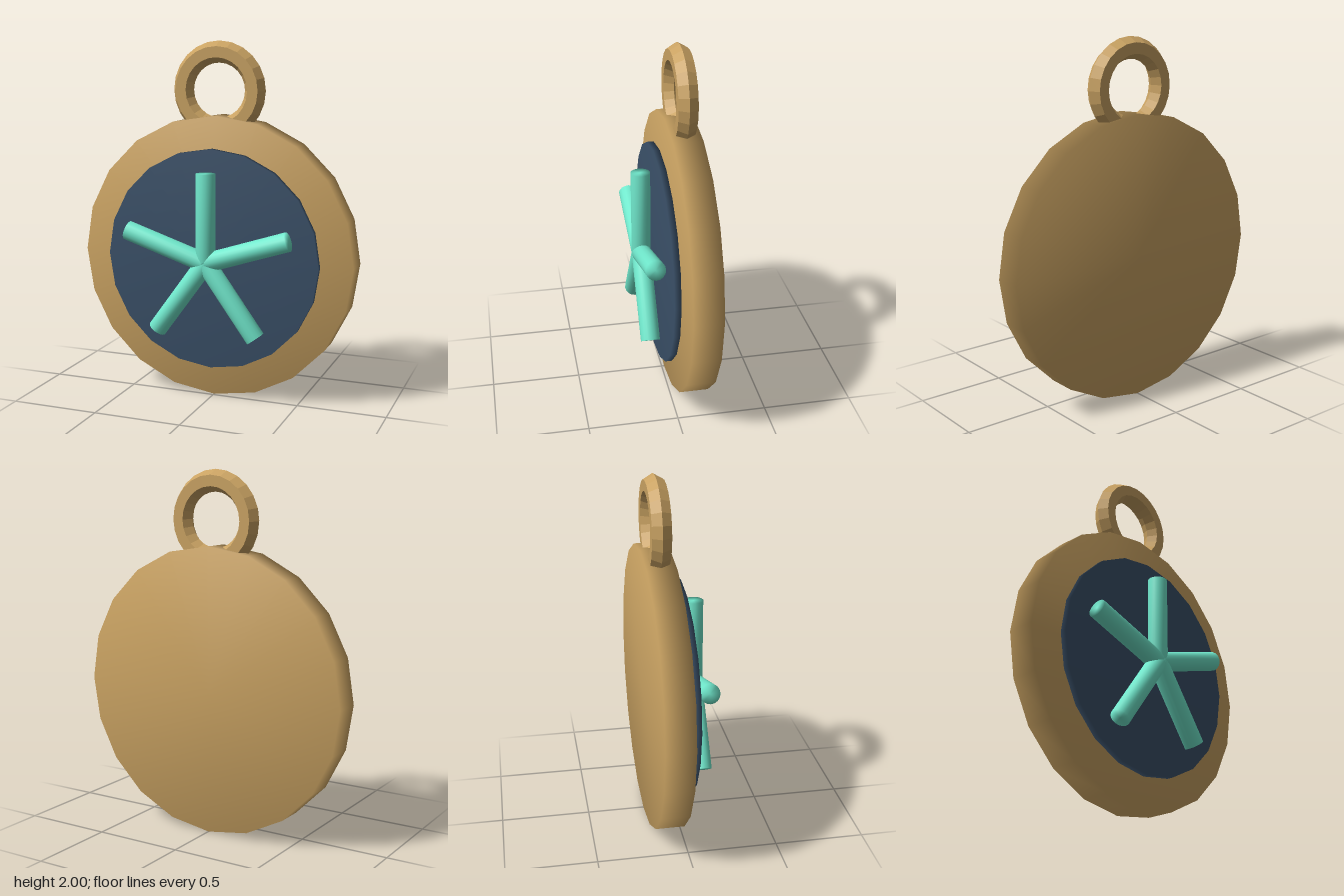
import * as THREE from 'three';
import { mergeVertices } from 'three/addons/utils/BufferGeometryUtils.js';

const gold = new THREE.MeshStandardMaterial({ color: 0xc9a262 });
const goldFlat = new THREE.MeshStandardMaterial({ color: 0xc9a262, flatShading: true });
const navy = new THREE.MeshStandardMaterial({ color: 0x3a5068 });
const mint = new THREE.MeshStandardMaterial({ color: 0x70e8cc });

const CENTRE_Y = 0.797;

// Cylinder whose caps share smooth normals with its wall
function softCylinder(radius, length, sides) {
  const g = new THREE.CylinderGeometry(radius, radius, length, sides);
  g.deleteAttribute('normal');
  g.deleteAttribute('uv');
  const merged = mergeVertices(g);
  merged.computeVertexNormals();
  return merged;
}

function addMesh(parent, name, geometry, material, x, y, z) {
  const mesh = new THREE.Mesh(geometry, material);
  mesh.name = name;
  mesh.position.set(x, y, z);
  parent.add(mesh);
  return mesh;
}

export function createModel() {
  const model = new THREE.Group();
  model.name = 'pendant';

  // Twenty-sided body and the thin plate floating in front of it
  const body = softCylinder(0.797, 0.16, 20).rotateX(Math.PI / 2);
  addMesh(model, 'body', body, gold, 0, CENTRE_Y, -0.095);
  const plate = softCylinder(0.62, 0.036, 20).rotateX(Math.PI / 2);
  addMesh(model, 'facePlate', plate, navy, 0, CENTRE_Y, 0.028);

  // Hanging ring with a hexagonal section, sunk into the top of the body
  addMesh(model, 'hangingRing', new THREE.TorusGeometry(0.21, 0.06, 6, 24), goldFlat, 0, 1.73, -0.095);

  // Five round bars radiating from the middle
  const star = new THREE.Group();
  star.name = 'star';
  star.position.set(0, CENTRE_Y, 0.117);
  model.add(star);
  const inner = 0.01, outer = 0.495;
  const bar = softCylinder(0.054, outer - inner, 16).translate(0, (inner + outer) / 2, 0);
  for (let i = 0; i < 5; i++) {
    addMesh(star, 'starBar' + (i + 1), bar, mint, 0, 0, 0).rotation.z = (i * Math.PI * 2) / 5;
  }

  return model;
}
